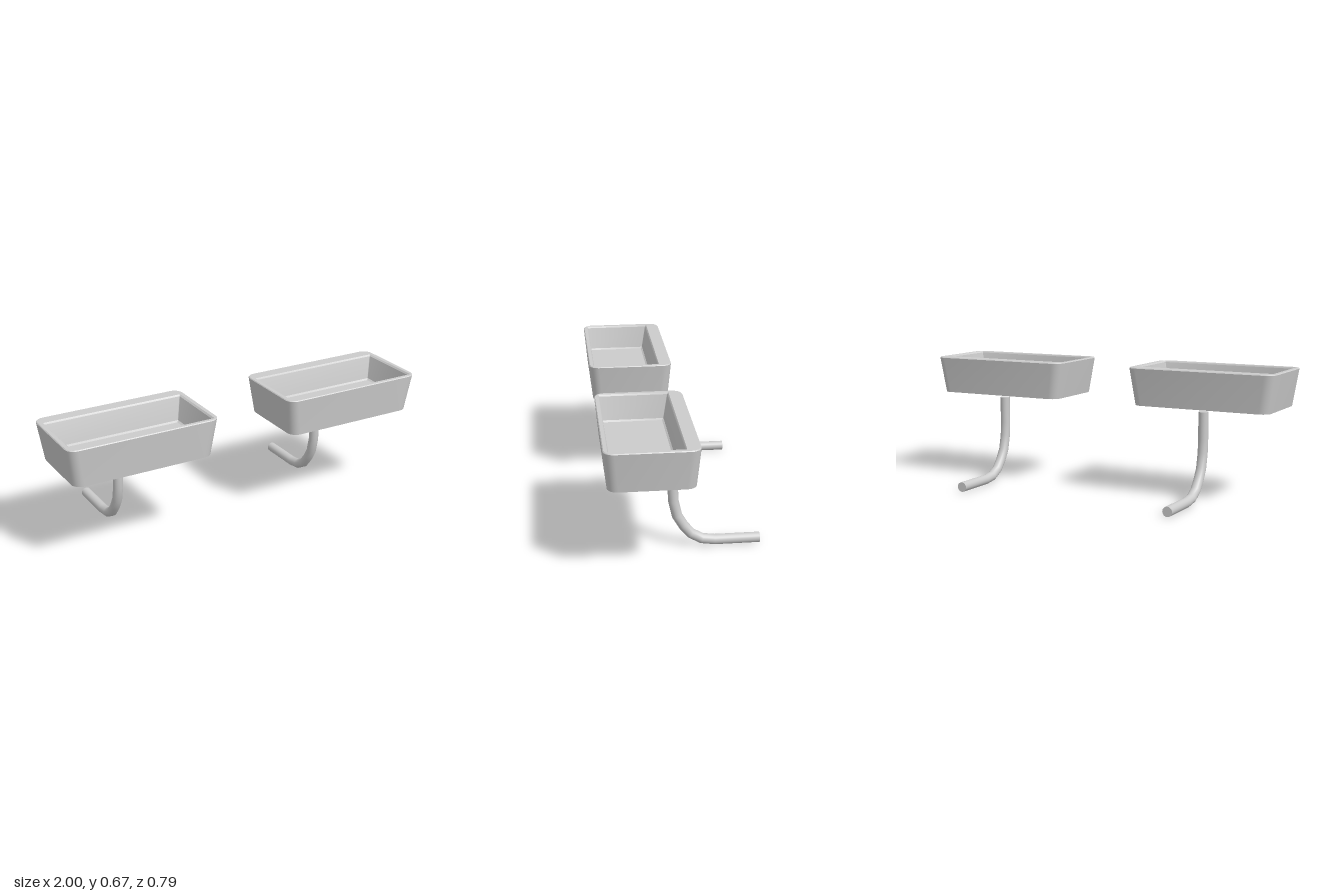
import * as THREE from 'three';
import { toCreasedNormals } from 'three/addons/utils/BufferGeometryUtils.js';

const material = new THREE.MeshStandardMaterial({ color: 0xcccccc });
const CORNER_STEPS = 6;

// Horizontal rounded rectangle: height, half width, back z, front z, corner radius
function ring([y, hx, z0, z1, r]) {
  const cz = (z0 + z1) / 2, hz = (z1 - z0) / 2;
  const points = [];
  [[1, 1], [-1, 1], [-1, -1], [1, -1]].forEach(([sx, sz], corner) => {
    for (let k = 0; k <= CORNER_STEPS; k++) {
      const a = (corner + k / CORNER_STEPS) * Math.PI / 2;
      points.push([sx * (hx - r) + r * Math.cos(a), y, cz + sz * (hz - r) + r * Math.sin(a)]);
    }
  });
  return points;
}

// Skin a stack of rings, from the underside up over the rim and down to the floor
function loft(sections) {
  const rings = sections.map(ring);
  const n = rings[0].length;
  const index = [];
  for (let i = 0; i < rings.length - 1; i++) {
    for (let j = 0; j < n; j++) {
      const a = i * n + j, b = i * n + (j + 1) % n;
      index.push(b, a, a + n, b, a + n, b + n);
    }
  }
  const geometry = new THREE.BufferGeometry();
  geometry.setAttribute('position', new THREE.Float32BufferAttribute(rings.flat(2), 3));
  geometry.setIndex(index);
  return toCreasedNormals(geometry, 0.5);
}

function makeBasin() {
  const geometry = loft([
    [0.477, 0, 0.173, 0.173, 0],             // underside centre
    [0.477, 0.37, -0.032, 0.378, 0.05],      // underside edge
    [0.671, 0.399, -0.048, 0.395, 0.05],     // tapered outer wall
    [0.675, 0.395, -0.044, 0.391, 0.047],    // softened rim edge
    [0.675, 0.375, 0.020, 0.374, 0.004],     // wide ledge at the back
    [0.667, 0.368, 0.026, 0.369, 0.004],     // inner rim bevel
    [0.548, 0.345, 0.048, 0.359, 0.004],     // inner wall
    [0.54, 0.337, 0.056, 0.352, 0.004],      // bevel to the floor
    [0.54, 0, 0.2, 0.2, 0],                  // floor centre
  ]);
  const basin = new THREE.Mesh(geometry, material);
  basin.name = 'basin';
  return basin;
}

function makePipe() {
  const radius = 0.026, sides = 20;
  // Centre line as z, y: straight down, then bending to the back
  const path = [
    [0.04, 0.46], [0.041, 0.319], [0.037, 0.246], [0.019, 0.167], [-0.013, 0.112],
    [-0.05, 0.067], [-0.105, 0.036], [-0.17, 0.027], [-0.29, 0.027], [-0.394, 0.027],
  ].map(([z, y]) => new THREE.Vector3(0, y, z));
  const curve = new THREE.CatmullRomCurve3(path);
  // Place one tube ring exactly at each path point
  curve.getPointAt = (t, target) => curve.getPoint(t, target);
  curve.getTangentAt = (t, target) => curve.getTangent(t, target);

  const pipe = new THREE.Group();
  pipe.name = 'drainPipe';
  const tube = new THREE.Mesh(
    new THREE.TubeGeometry(curve, path.length - 1, radius, sides), material);
  tube.name = 'pipeTube';
  const topCap = new THREE.Mesh(new THREE.CircleGeometry(radius, sides), material);
  topCap.name = 'pipeTopCap';
  topCap.position.copy(path[0]);
  topCap.rotation.x = -Math.PI / 2;
  const endCap = new THREE.Mesh(new THREE.CircleGeometry(radius, sides), material);
  endCap.name = 'pipeEndCap';
  endCap.position.copy(path[path.length - 1]);
  endCap.rotation.y = Math.PI;
  pipe.add(tube, topCap, endCap);
  return pipe;
}

export function createModel() {
  const model = new THREE.Group();
  model.name = 'sinkPair';
  for (const side of [1, -1]) {
    const sink = new THREE.Group();
    sink.name = side > 0 ? 'leftSink' : 'rightSink';
    sink.position.x = side * 0.6;
    sink.add(makeBasin(), makePipe());
    model.add(sink);
  }
  return model;
}
